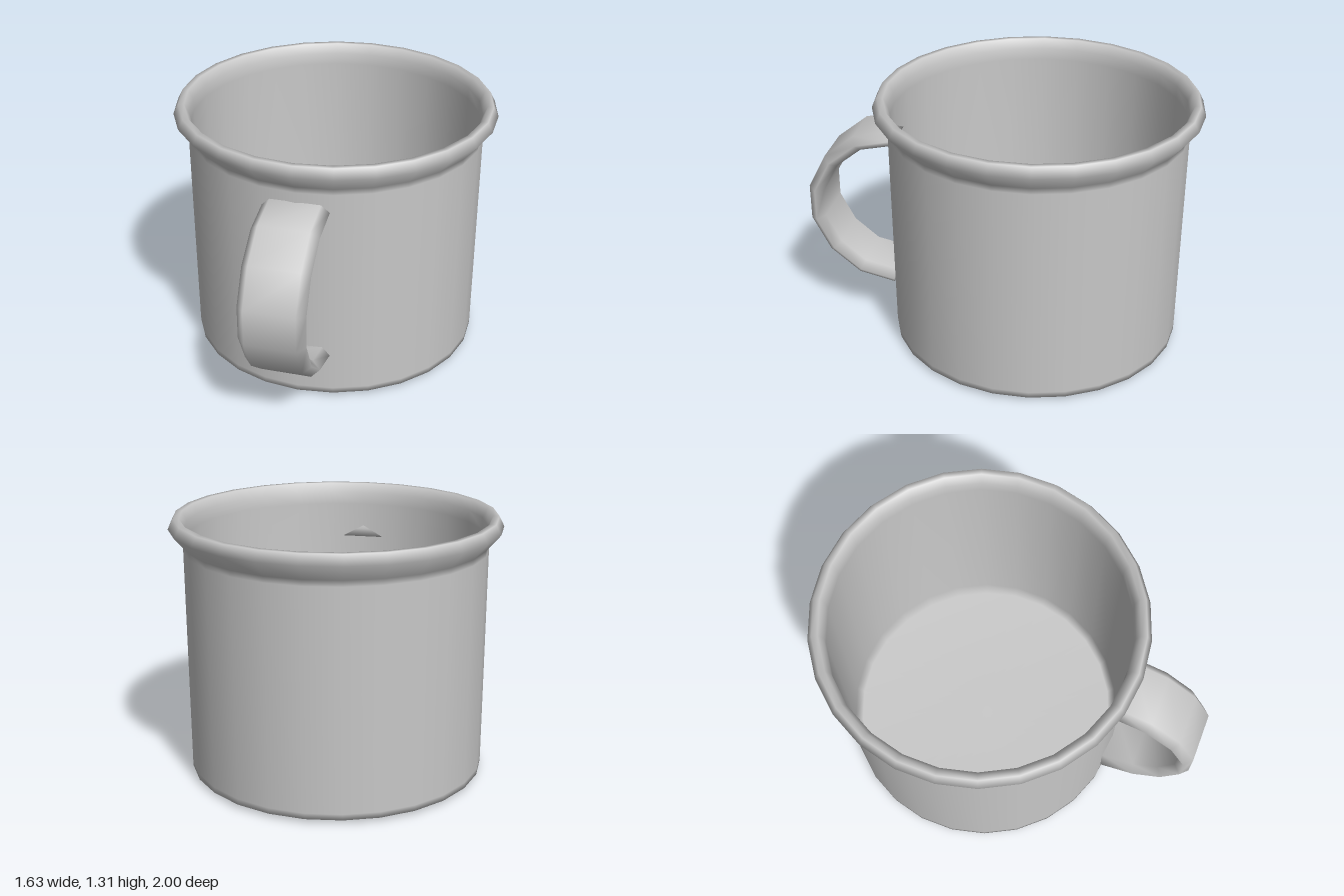
import * as THREE from 'three';

const enamel = new THREE.MeshStandardMaterial({ color: 0xc8c8c8 });
enamel.name = 'grey enamel';

// Sweeps a section (x, offset) along a path of (z, y) points, with end caps
function sweep(path, section) {
  const pos = [], idx = [], n = section.length, last = path.length - 1;
  path.forEach(([z, y], i) => {
    const a = path[Math.max(i - 1, 0)], b = path[Math.min(i + 1, last)];
    const t = new THREE.Vector2(b[0] - a[0], b[1] - a[1]).normalize();
    for (const [x, o] of section) pos.push(x, y + o * t.x, z - o * t.y);
  });
  for (let i = 0; i < last; i++) {
    for (let j = 0; j < n; j++) {
      const a = i * n + j, b = i * n + (j + 1) % n;
      idx.push(a, b, b + n, a, b + n, a + n);
    }
  }
  const e = last * n;
  for (let k = 1; k < n - 1; k++) idx.push(0, k + 1, k, e, e + k, e + k + 1);
  const geo = new THREE.BufferGeometry();
  geo.setAttribute('position', new THREE.Float32BufferAttribute(pos, 3));
  geo.setIndex(idx);
  geo.computeVertexNormals();
  return geo;
}

export function createModel() {
  const group = new THREE.Group();
  group.name = 'mug';

  // Cup: bottom, outer wall, rolled rim, inner wall and floor in one profile
  const profile = [
    [0, 0], [0.67, 0], [0.69, 0], [0.742, 0.02], [0.743, 0.05],
    [0.75, 1.15], [0.75, 1.18], [0.82, 1.26], [0.795, 1.31], [0.765, 1.31],
    [0.742, 1.26], [0.74, 1.2], [0.735, 0.06], [0.7, 0.02], [0, 0.02],
  ].map(([r, y]) => new THREE.Vector2(r, y));
  const cup = new THREE.Mesh(new THREE.LatheGeometry(profile, 26), enamel);
  cup.name = 'cup';
  cup.position.z = -0.18;
  group.add(cup);

  // Handle: wide flat strap with chamfered edges
  const path = [
    [0.555, 1.06], [0.73, 1.02], [0.875, 0.905], [0.96, 0.74],
    [0.96, 0.575], [0.875, 0.41], [0.735, 0.295], [0.555, 0.255],
  ];
  const strap = [
    [0.165, 0], [0.125, 0.04], [-0.125, 0.04],
    [-0.165, 0], [-0.125, -0.04], [0.125, -0.04],
  ];
  const handle = new THREE.Mesh(sweep(path, strap), enamel);
  handle.name = 'handle';
  group.add(handle);

  return group;
}
